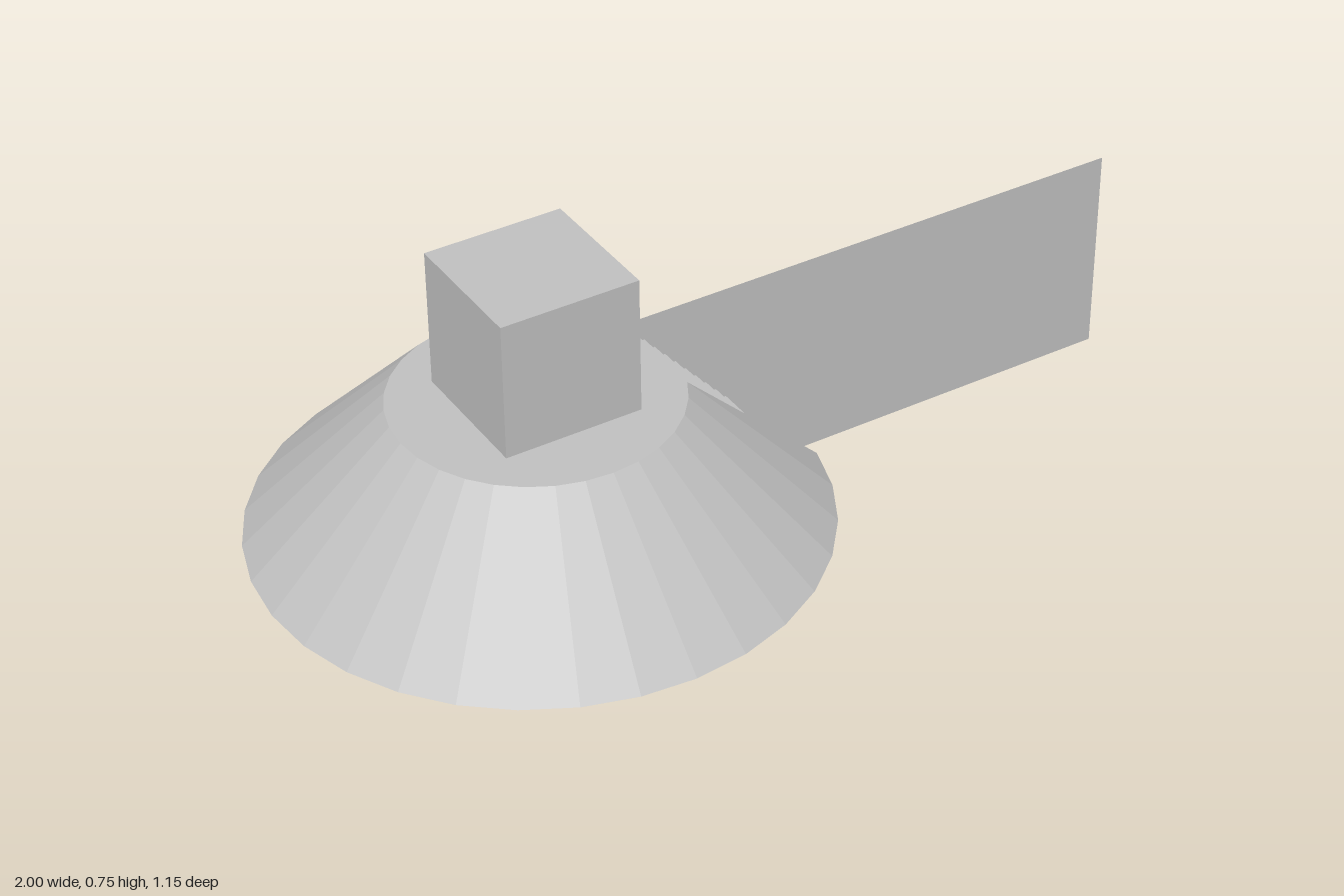
import * as THREE from 'three';

const CX = -0.425;             // axis of the mound
const Y0 = 0.175, Y1 = 0.46;   // mound base and top heights
const R0 = 0.575, R1 = 0.288;  // mound base and top radii
const HALF = 0.115;            // half width of the stair notch
const SEGMENTS = 32, STEPS = 11;
const STAIR_TOP = -0.165, STAIR_END = 0.07;

// Geometry from a list of four-cornered faces
function quads(faces) {
  const pos = [];
  for (const [a, b, c, d] of faces) pos.push(...a, ...b, ...c, ...a, ...c, ...d);
  const g = new THREE.BufferGeometry();
  g.setAttribute('position', new THREE.Float32BufferAttribute(pos, 3));
  g.computeVertexNormals();
  return g;
}

// Points round the mound at one height, stopping at the notch edges
function ring(radius) {
  const gap = Math.asin(HALF / radius);
  const points = [];
  for (let i = 1; i < SEGMENTS; i++) {
    const t = (i / SEGMENTS) * Math.PI * 2;
    const a = THREE.MathUtils.clamp(i === 1 ? 0 : i === SEGMENTS - 1 ? 7 : t, gap, Math.PI * 2 - gap);
    points.push(new THREE.Vector2(CX + radius * Math.cos(a), radius * Math.sin(a)));
  }
  return points;
}

export function createModel() {
  const group = new THREE.Group();
  const grey = new THREE.MeshStandardMaterial({ color: 0xc0c0c0 });
  grey.name = 'grey';
  grey.flatShading = true;
  const sheetGrey = grey.clone();
  sheetGrey.side = THREE.DoubleSide;

  const add = (name, geometry, material = grey) => {
    const mesh = new THREE.Mesh(geometry, material);
    mesh.name = name;
    group.add(mesh);
    return mesh;
  };

  // Sloping side of the mound
  const low = ring(R0), high = ring(R1);
  const at = (p, y) => [p.x, y, p.y];
  const slope = [];
  for (let i = 0; i < low.length - 1; i++) {
    slope.push([at(low[i], Y0), at(high[i], Y1), at(high[i + 1], Y1), at(low[i + 1], Y0)]);
  }
  add('moundSlope', quads(slope));

  // Flat top, cut straight at the head of the stairs
  const topShape = new THREE.Shape([
    ...high, new THREE.Vector2(STAIR_TOP, -HALF), new THREE.Vector2(STAIR_TOP, HALF),
  ]);
  add('moundTop', new THREE.ShapeGeometry(topShape).rotateX(-Math.PI / 2)).position.y = Y1;

  // Underside with the notch in front of the stairs
  const baseShape = new THREE.Shape([
    ...low, new THREE.Vector2(STAIR_END, -HALF), new THREE.Vector2(STAIR_END, HALF),
  ]);
  add('moundBase', new THREE.ShapeGeometry(baseShape).rotateX(Math.PI / 2)).position.y = Y0;

  // Stairs: risers and treads, also tracing the profile of the notch wall
  const rise = (Y1 - Y0) / STEPS, run = (STAIR_END - STAIR_TOP) / (STEPS - 1);
  const stairs = [], profile = [];
  for (let k = 0; k < STEPS; k++) {
    const x = STAIR_TOP + k * run, top = Y1 - k * rise, bottom = top - rise;
    stairs.push([[x, bottom, -HALF], [x, top, -HALF], [x, top, HALF], [x, bottom, HALF]]);
    if (k < STEPS - 1) {
      stairs.push([[x, bottom, -HALF], [x, bottom, HALF], [x + run, bottom, HALF], [x + run, bottom, -HALF]]);
    }
    profile.push(new THREE.Vector2(x, top), new THREE.Vector2(x, bottom));
  }
  add('stairs', quads(stairs));

  // Wall of the notch beside the stairs
  profile.push(new THREE.Vector2(low[0].x, Y0), new THREE.Vector2(high[0].x, Y1));
  add('notchWall', new THREE.ShapeGeometry(new THREE.Shape(profile)), sheetGrey).position.z = HALF;

  // Long upright sheet along the other side of the stairs
  add('wallSheet', new THREE.PlaneGeometry(1.38, Y1), sheetGrey).position.set(0.31, Y1 / 2, -HALF);

  // Block standing on the mound
  add('block', new THREE.BoxGeometry(0.29, 0.29, 0.29)).position.set(CX, Y1 + 0.145, 0);

  // Tiny stud under the centre
  add('baseStud', new THREE.BoxGeometry(0.01, 0.008, 0.01)).position.set(CX, Y0 - 0.003, 0);

  return group;
}
